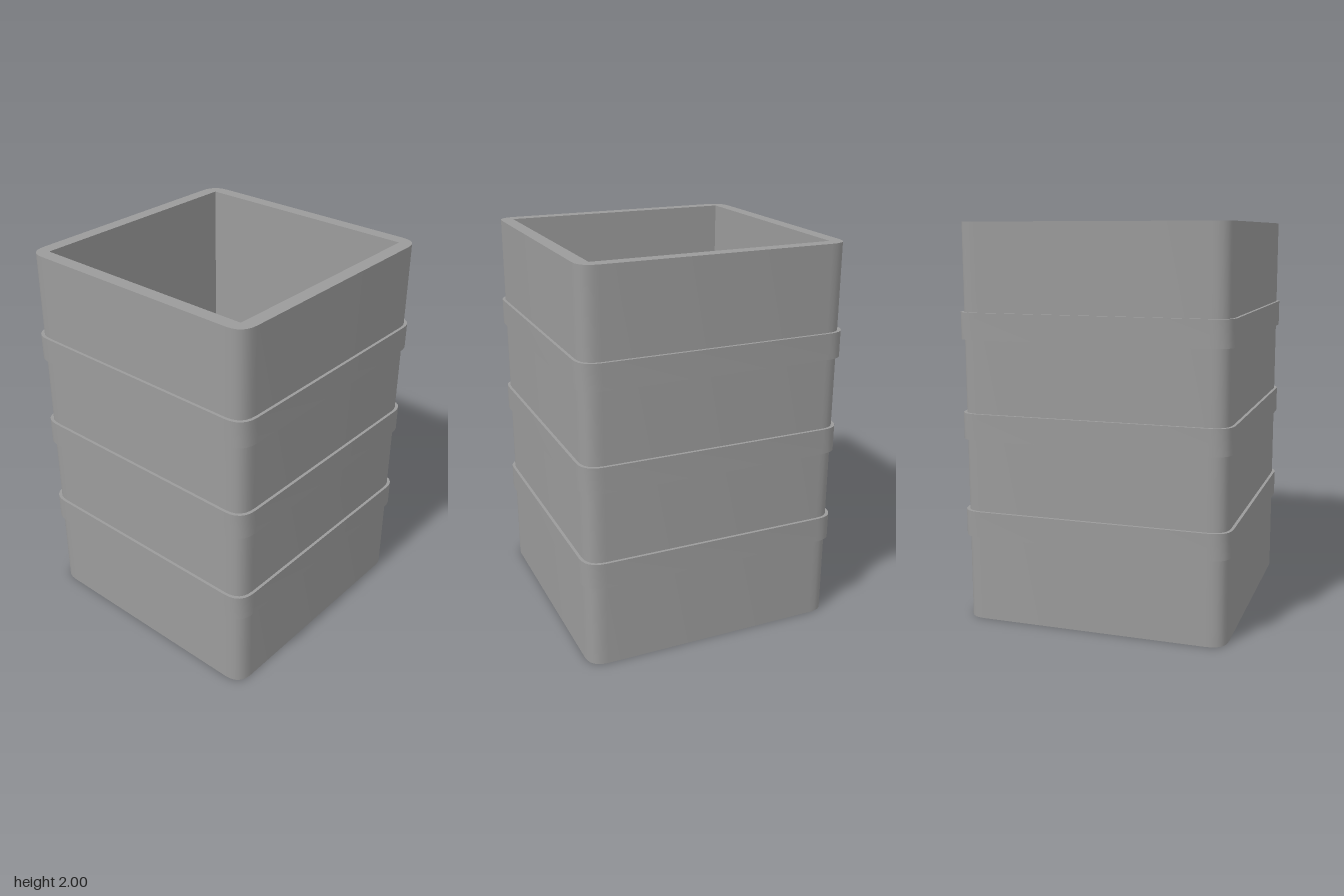
import * as THREE from 'three';
import { toCreasedNormals } from 'three/addons/utils/BufferGeometryUtils.js';

const BODY = 0.675, BODY_R = 0.095; // half width and corner size
const BAND = 0.69, BAND_R = 0.105;
const INNER = 0.606, FLOOR = 0.07;

// Square outline with half width h and softly curved corners of size r
function outline(path, h, r) {
  const c = h - r;
  path.moveTo(h, -c);
  path.lineTo(h, c);
  if (r > 0) path.quadraticCurveTo(h, h, c, h);
  path.lineTo(-c, h);
  if (r > 0) path.quadraticCurveTo(-h, h, -h, c);
  path.lineTo(-h, -c);
  if (r > 0) path.quadraticCurveTo(-h, -h, -c, -h);
  path.lineTo(c, -h);
  if (r > 0) path.quadraticCurveTo(h, -h, h, -c);
  path.closePath();
  return path;
}

// Upright square ring from y0 to y1
function ring(h, r, holeH, holeR, y0, y1) {
  const shape = outline(new THREE.Shape(), h, r);
  shape.holes.push(outline(new THREE.Path(), holeH, holeR));
  const geo = new THREE.ExtrudeGeometry(shape, { depth: y1 - y0, bevelEnabled: false, curveSegments: 6 });
  geo.rotateX(-Math.PI / 2);
  geo.translate(0, y0, 0);
  return toCreasedNormals(geo, Math.PI / 5);
}

export function createModel() {
  const model = new THREE.Group();
  model.name = 'bandedContainer';
  const material = new THREE.MeshStandardMaterial({ color: 0x9b9b9b });

  const add = (name, geo) => {
    const mesh = new THREE.Mesh(geo, material);
    mesh.name = name;
    model.add(mesh);
    return mesh;
  };

  // Open-topped walls with a square cavity
  add('walls', ring(BODY, BODY_R, INNER, 0, 0, 2));

  // Floor plate closing the cavity
  add('floor', new THREE.BoxGeometry(INNER * 2, FLOOR, INNER * 2)).position.y = FLOOR / 2;

  // Three raised bands around the outside
  ['lowerBand', 'middleBand', 'upperBand'].forEach((name, i) => {
    const y = 0.502 + i * 0.499;
    add(name, ring(BAND, BAND_R, BODY, BODY_R, y - 0.0665, y + 0.0665));
  });

  return model;
}
